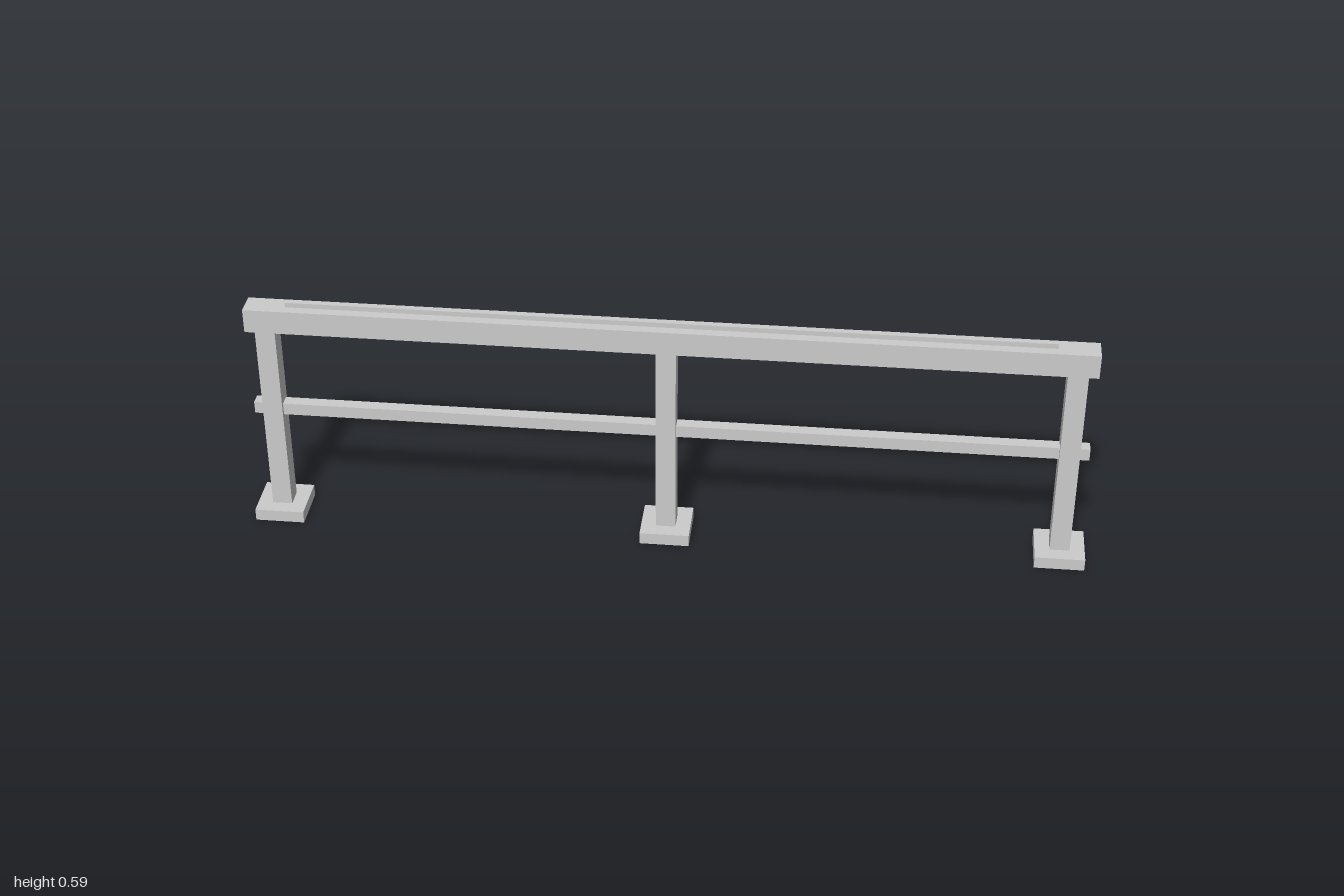
import * as THREE from 'three';

export function createModel() {
  const group = new THREE.Group();
  const material = new THREE.MeshStandardMaterial({ color: 0xcccccc, flatShading: true });

  // Box centred on z = 0, spanning y0 to y1
  const box = (name, x, y0, y1, width, depth) => {
    const mesh = new THREE.Mesh(new THREE.BoxGeometry(width, y1 - y0, depth), material);
    mesh.name = name;
    mesh.position.set(x, (y0 + y1) / 2, 0);
    group.add(mesh);
  };

  // Three posts on square foot plates
  [['right', -0.9406], ['middle', 0], ['left', 0.9406]].forEach(([side, x]) => {
    box(side + 'FootPlate', x, 0, 0.0297, 0.1188, 0.1188);
    box(side + 'Post', x, 0.0297, 0.516, 0.0475, 0.0475);
  });

  // Rails running the full length, and the thin strip on top
  box('topRail', 0, 0.516, 0.575, 1.974, 0.0594);
  box('middleRail', 0, 0.283, 0.313, 1.974, 0.0297);
  box('topStrip', 0, 0.575, 0.587, 1.782, 0.0125);

  return group;
}
